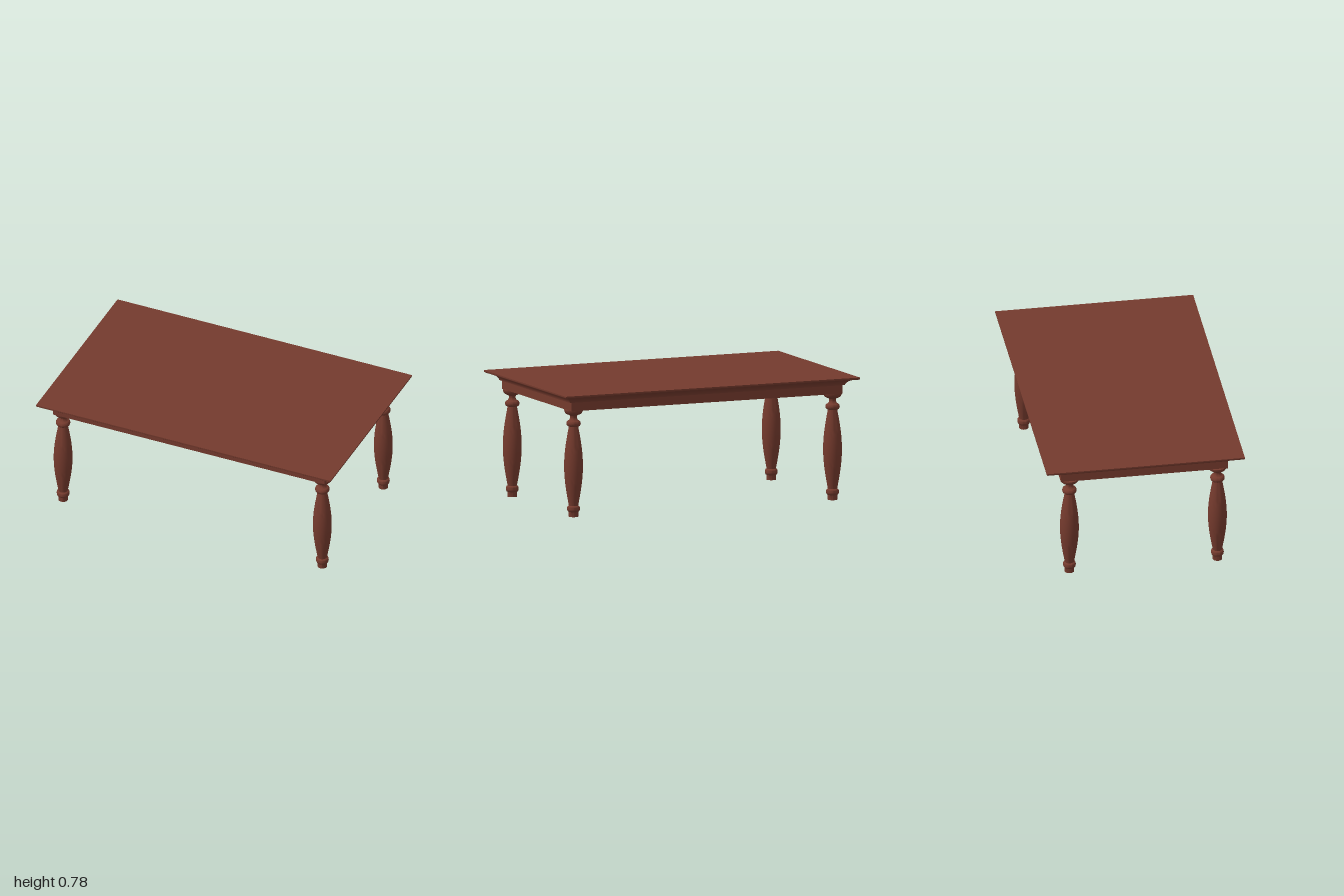
import * as THREE from 'three';
import { toCreasedNormals } from 'three/addons/utils/BufferGeometryUtils.js';

const wood = new THREE.MeshStandardMaterial({ color: 0x743a2d });
wood.name = 'reddish wood';

function part(name, geometry, x = 0, y = 0, z = 0) {
  const mesh = new THREE.Mesh(geometry, wood);
  mesh.name = name;
  mesh.position.set(x, y, z);
  return mesh;
}

// Stacks rectangular rings [halfX, y, halfZ] from bottom to top and caps both ends
function rectLoft(rings) {
  const corners = [[-1, 1], [1, 1], [1, -1], [-1, -1]];
  const positions = [], index = [];
  for (const [hx, y, hz] of rings) {
    for (const [sx, sz] of corners) positions.push(sx * hx, y, sz * hz);
  }
  for (let r = 0; r < rings.length - 1; r++) {
    for (let i = 0; i < 4; i++) {
      const a = r * 4 + i, b = r * 4 + (i + 1) % 4;
      index.push(a, b, b + 4, a, b + 4, a + 4);
    }
  }
  const t = (rings.length - 1) * 4;
  index.push(0, 2, 1, 0, 3, 2, t, t + 1, t + 2, t, t + 2, t + 3);
  const geometry = new THREE.BufferGeometry();
  geometry.setAttribute('position', new THREE.Float32BufferAttribute(positions, 3));
  geometry.setIndex(index);
  return toCreasedNormals(geometry, 0.6);
}

// Table top with a moulded edge: [share of the overhang, y]
function tableTop() {
  const profile = [
    [0.9, 0.725], [0.88, 0.731], [0.8, 0.741], [0.69, 0.75], [0.55, 0.757],
    [0.4, 0.761], [0.15, 0.764], [0.06, 0.766], [0.01, 0.77], [0, 0.774], [0, 0.78],
  ];
  return rectLoft(profile.map(([k, y]) => [1 - 0.074 * k, y, 0.6225 - 0.096 * k]));
}

// Rectangular apron frame, open in the middle
function apronFrame(hx, hz, thickness, height) {
  const rect = (P, x, z) => {
    const p = new P();
    p.moveTo(-x, -z);
    p.lineTo(x, -z);
    p.lineTo(x, z);
    p.lineTo(-x, z);
    p.closePath();
    return p;
  };
  const shape = rect(THREE.Shape, hx, hz);
  shape.holes.push(rect(THREE.Path, hx - thickness, hz - thickness));
  return new THREE.ExtrudeGeometry(shape, { depth: height, bevelEnabled: false }).rotateX(-Math.PI / 2);
}

// Turned leg: foot, bead, long bulging shaft, ring, neck and cup
function legGeometry() {
  const points = [[0, 0], [0.03, 0], [0.03, 0.031]];
  const bead = (y0, y1, inner, outer) => {
    for (let i = 0; i <= 8; i++) {
      const a = Math.PI * i / 8;
      points.push([inner + (outer - inner) * Math.sin(a), (y0 + y1) / 2 - (y1 - y0) / 2 * Math.cos(a)]);
    }
  };
  bead(0.032, 0.069, 0.031, 0.04);
  for (let i = 0; i <= 20; i++) {
    const t = i / 20;
    points.push([0.029 + 0.0295 * Math.sin(Math.PI * t), 0.07 + 0.496 * t]);
  }
  bead(0.567, 0.603, 0.032, 0.045);
  points.push(
    [0.028, 0.606], [0.023, 0.614], [0.0205, 0.622], [0.021, 0.63], [0.025, 0.636],
    [0.034, 0.64], [0.044, 0.644], [0.051, 0.65], [0.056, 0.658], [0.0585, 0.668], [0.0585, 0.672], [0, 0.672],
  );
  const geometry = new THREE.LatheGeometry(points.map(([r, y]) => new THREE.Vector2(r, y)), 32);
  return toCreasedNormals(geometry, 0.7);
}

export function createModel() {
  const table = new THREE.Group();
  table.name = 'table';
  table.add(part('tableTop', tableTop()));

  // Apron and legs sit very slightly off the centre of the top
  const base = new THREE.Group();
  base.name = 'base';
  base.position.set(-0.004, 0, 0.003);
  base.add(part('apron', apronFrame(0.922, 0.525, 0.03, 0.057), 0, 0.67, 0));

  const leg = legGeometry();
  const block = new THREE.BoxGeometry(0.118, 0.055, 0.118);
  for (const [sx, xName] of [[-1, 'Right'], [1, 'Left']]) {
    for (const [sz, zName] of [[-1, 'back'], [1, 'front']]) {
      base.add(part(`${zName}${xName}Leg`, leg, sx * 0.88, 0, sz * 0.465));
      base.add(part(`${zName}${xName}CornerBlock`, block, sx * 0.862, 0.6985, sz * 0.465));
    }
  }
  table.add(base);
  return table;
}
